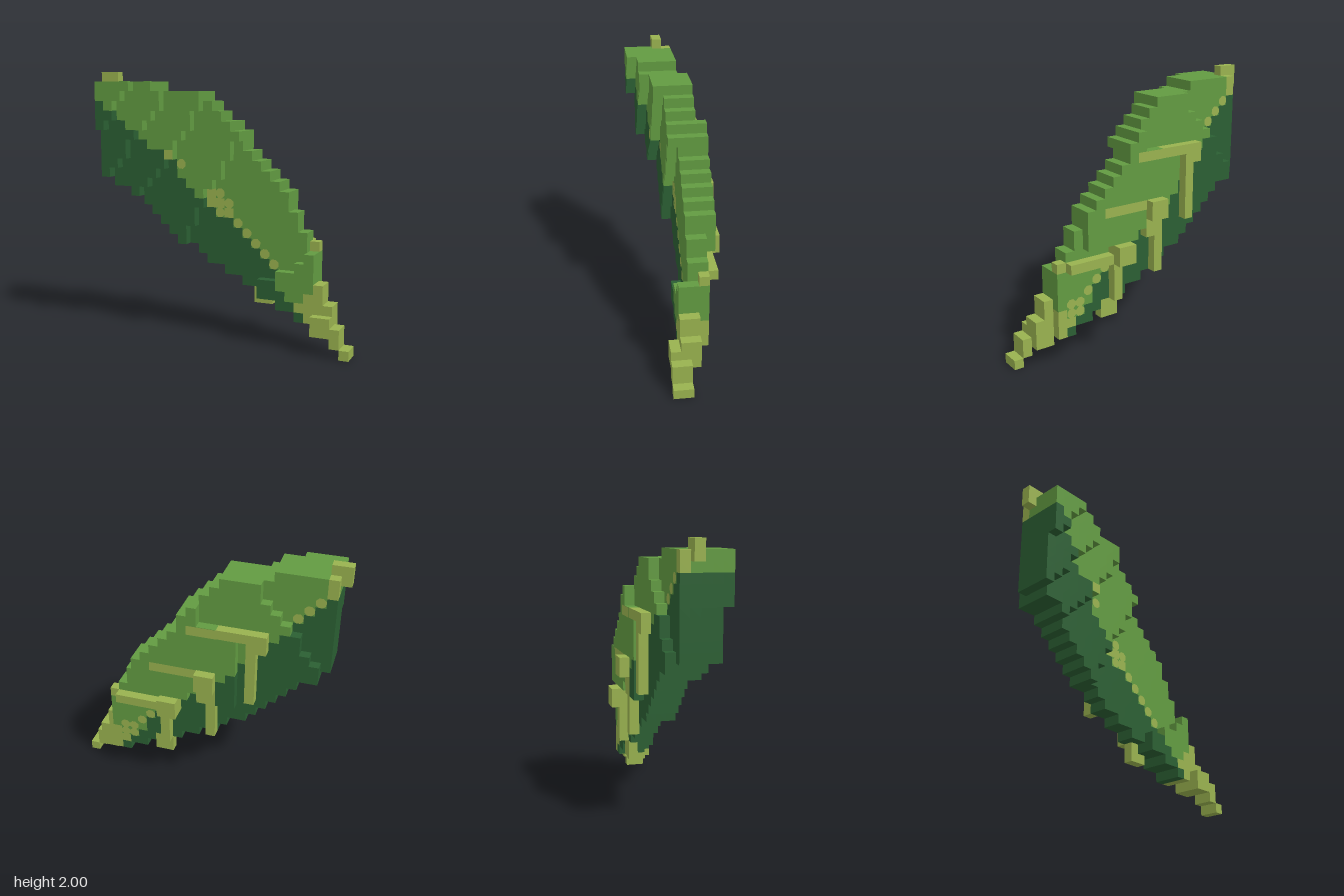
import * as THREE from 'three';
import { mergeGeometries } from 'three/addons/utils/BufferGeometryUtils.js';

const S = 1 / 14; // cell size; grid is 28 x 28 x 8
const LEAF = 0x629b41, SHADE = 0x2b5f33, VEIN = 0x99b24f;

// Outline of the blade: first and one-past-last row for columns 1..23
const BOTTOM = [0, 17, 16, 16, 15, 14, 13, 12, 11, 10, 10, 9, 8, 8, 7, 7, 6, 6, 5, 5, 4, 4, 3, 3];
const TOP = [0, 27, 27, 27, 27, 27, 27, 26, 26, 26, 26, 26, 25, 24, 23, 22, 20, 19, 18, 17, 16, 14, 12, 10];
// Row of the midrib in each column: the blade is dark below it
const MID = [0, 25, 24, 23, 22, 21, 20, 20, 19, 17, 16, 15, 14, 13, 13, 12, 11, 10, 9, 8, 6, 5, 4, 3];

// Curl of the blade: the column where each step back begins, from a first row upwards
const STEPS = [
  { row: 22, cols: [2, 3, 3, 4, 5] },
  { row: 16, cols: [1, 2, 3, 4, 4, 5, 6, 7, 8, 8, 9] },
  { row: 15, cols: [5, 6, 7, 8, 9, 9, 10, 11, 11, 12, 12, 12] },
  { row: 10, cols: [10, 10, 11, 11, 12, 12, 13, 14, 14, 15, 15, 99, 99, 99, 99, 99, 99] },
];
const TIP = { 9: 23, 8: 22, 7: 20, 6: 18, 5: 18, 4: 0, 3: 0 };

const past = (step, i, j) => j < step.row || i >= step.cols[j - step.row];

function frontOf(i, j) {
  if (j in TIP && i >= TIP[j]) return 5;
  let z = 8;
  for (const step of STEPS) if (past(step, i, j)) z--;
  return z;
}

function backOf(i, j) {
  if (i === 1 && j >= 25) return 4;
  if (!past(STEPS[1], i, j)) return 3;
  const bulge = i >= 10 && i - 0.7 * j < 11.9 && j >= 12
    && (i < 12 || j >= MID[i]) && (j <= 20 || i >= 14);
  return bulge ? 1 : 2;
}

// Exposed faces of all cells belonging to one part
function cellGeometry(cells, part) {
  const pos = [], nor = [];
  for (const [key, name] of cells) {
    if (name !== part) continue;
    const c = key.split(',').map(Number);
    for (let a = 0; a < 3; a++) for (const d of [-1, 1]) {
      const n = [...c];
      n[a] += d;
      if (cells.has(n.join())) continue;
      const u = (a + 1) % 3, v = (a + 2) % 3;
      const corner = (p, q) => {
        const r = [...c];
        if (d > 0) r[a]++;
        r[u] += p;
        r[v] += q;
        return [r[0] * S - 1, r[1] * S, (r[2] - 4) * S];
      };
      const quad = [corner(0, 0), corner(1, 0), corner(1, 1), corner(0, 1)];
      if (d < 0) quad.reverse();
      for (const t of [0, 1, 2, 0, 2, 3]) {
        pos.push(...quad[t]);
        nor.push(a === 0 ? d : 0, a === 1 ? d : 0, a === 2 ? d : 0);
      }
    }
  }
  const g = new THREE.BufferGeometry();
  g.setAttribute('position', new THREE.Float32BufferAttribute(pos, 3));
  g.setAttribute('normal', new THREE.Float32BufferAttribute(nor, 3));
  return g;
}

export function createModel() {
  const group = new THREE.Group();
  const material = (name, color) => {
    const m = new THREE.MeshStandardMaterial({ color });
    m.name = name;
    return m;
  };
  const leafGreen = material('leafGreen', LEAF);
  const darkGreen = material('darkGreen', SHADE);
  const veinYellow = material('veinYellow', VEIN);

  const cells = new Map();
  const fill = (part, i0, i1, j0, j1, k0, k1) => {
    for (let i = i0; i <= i1; i++)
      for (let j = j0; j <= j1; j++)
        for (let k = k0; k <= k1; k++) cells.set([i, j, k].join(), part);
  };

  // Blade, with the base of the stem coloured in
  for (let i = 1; i <= 23; i++) {
    for (let j = BOTTOM[i]; j < TOP[i]; j++) {
      const stem = (i === 23 && j <= 5) || (i === 22 && j === 4);
      const part = stem ? 'stem' : j < MID[i] ? 'lowerBlade' : 'upperBlade';
      fill(part, i, i, j, j, backOf(i, j), frontOf(i, j) - 1);
    }
  }

  // Stem, curling forward
  fill('stem', 24, 24, 4, 6, 3, 4);
  fill('stem', 25, 25, 4, 4, 3, 4);
  fill('stem', 24, 25, 2, 3, 3, 5);
  fill('stem', 26, 26, 1, 2, 4, 5);
  fill('stem', 27, 27, 0, 0, 4, 5);

  // Pointed tip of the leaf
  fill('leafTip', 0, 0, 26, 27, 4, 4);
  fill('leafTip', 1, 1, 27, 27, 4, 4);
  fill('leafTip', 1, 1, 25, 26, 3, 3);

  // Raised veins on the back
  fill('backVeins', 7, 9, 20, 20, 1, 1);
  fill('backVeins', 7, 8, 19, 19, 1, 1);
  fill('backVeins', 8, 8, 13, 18, 1, 1);
  fill('backVeins', 10, 11, 20, 20, 1, 1);
  fill('backVeins', 12, 13, 14, 15, 0, 0);
  fill('backVeins', 12, 12, 8, 13, 1, 1);
  fill('backVeins', 13, 13, 12, 13, 1, 1);
  fill('backVeins', 16, 17, 10, 11, 0, 1);
  fill('backVeins', 18, 22, 10, 10, 1, 1);
  fill('backVeins', 23, 23, 10, 10, 2, 2);
  fill('backVeins', 17, 17, 6, 9, 1, 1);
  fill('backVeins', 17, 18, 4, 5, 2, 2);

  const parts = {
    upperBlade: leafGreen, lowerBlade: darkGreen,
    stem: veinYellow, leafTip: veinYellow, backVeins: veinYellow,
  };
  for (const [name, mat] of Object.entries(parts)) {
    const mesh = new THREE.Mesh(cellGeometry(cells, name), mat);
    mesh.name = name;
    group.add(mesh);
  }

  // Flat painted midrib and vein marks, one per cell
  const paint = (name, marks, front) => {
    const list = marks.map(([i, j, square]) => {
      const g = square ? new THREE.PlaneGeometry(S, S) : new THREE.CircleGeometry(S * 0.54, 8, Math.PI / 8);
      if (!front) g.rotateY(Math.PI);
      const z = (front ? frontOf(i, j) : backOf(i, j)) - 4;
      return g.translate((i + 0.5) * S - 1, (j + 0.5) * S, z * S + (front ? 0.004 : -0.004));
    });
    const mesh = new THREE.Mesh(mergeGeometries(list), veinYellow);
    mesh.name = name;
    group.add(mesh);
  };
  paint('frontMidrib', [
    [8, 19, 1], [9, 18], [12, 14, 1], [12, 15, 1], [13, 14, 1], [13, 15], [13, 13], [14, 14], [14, 13, 1],
    [15, 12], [16, 11], [17, 10], [18, 9], [19, 8],
  ], true);
  const backMarks = [[2, 24], [3, 23], [4, 22], [18, 9], [19, 8], [20, 7], [21, 6], [22, 5], [21, 5], [22, 6]];
  for (let i = 12; i <= 14; i++) backMarks.push([i, 20, 1]);
  for (let i = 14; i <= 18; i++) backMarks.push([i, 15, 1]);
  paint('backMidrib', backMarks, false);

  return group;
}
